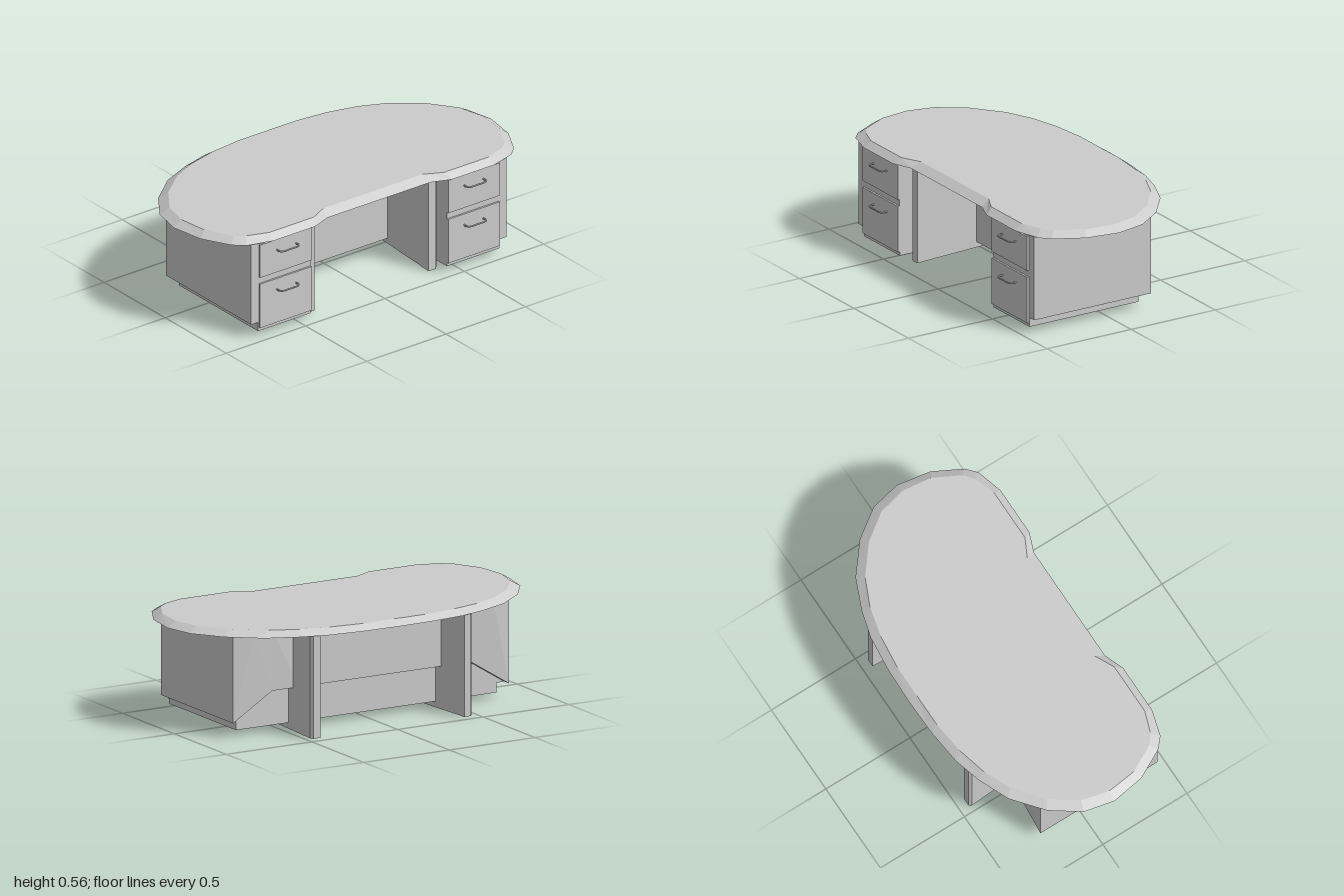
import * as THREE from 'three';
import { ConvexGeometry } from 'three/addons/geometries/ConvexGeometry.js';

const mat = new THREE.MeshStandardMaterial({ color: 0xcccccc, flatShading: true });

function add(parent, geometry, name) {
  const mesh = new THREE.Mesh(geometry, mat);
  mesh.name = name;
  parent.add(mesh);
  return mesh;
}

// Box given by its limits on each axis
function block(parent, name, [x0, x1], [y0, y1], [z0, z1]) {
  const mesh = add(parent, new THREE.BoxGeometry(x1 - x0, y1 - y0, z1 - z0), name);
  mesh.position.set((x0 + x1) / 2, (y0 + y1) / 2, (z0 + z1) / 2);
}

// Convex solid from corner points
function hull(parent, name, points) {
  add(parent, new ConvexGeometry(points.map((p) => new THREE.Vector3(...p))), name);
}

// Plan outline (x, z) raised from y0 to y1
function raise(outline, y0, y1) {
  const shape = new THREE.Shape(outline.map(([x, z]) => new THREE.Vector2(x, -z)));
  const g = new THREE.ExtrudeGeometry(shape, { depth: y1 - y0, bevelEnabled: false });
  return g.rotateX(-Math.PI / 2).translate(0, y0, 0);
}

// Kidney-shaped top: each half point holds the lower x, z and the inset upper x, z
function tableTop() {
  const half = [
    [0.2, -0.5, 0.18, -0.46], [0.39, -0.48, 0.36, -0.44], [0.535, -0.44, 0.52, -0.40],
    [0.7, -0.37, 0.665, -0.335], [0.86, -0.24, 0.815, -0.215], [0.965, -0.09, 0.915, -0.075],
    [1, 0.07, 0.95, 0.07], [0.97, 0.25, 0.93, 0.23], [0.89, 0.4, 0.855, 0.37],
    [0.835, 0.45, 0.805, 0.41], [0.695, 0.49, 0.69, 0.45], [0.43, 0.49, 0.41, 0.45],
    [0.325, 0.45, 0.31, 0.4],
  ];
  const loop = [[0, -0.505, 0, -0.46], ...half,
    ...half.slice().reverse().map(([a, b, c, d]) => [-a, b, -c, d])];
  const g = raise(loop, 0.53, 0.56);
  const p = g.attributes.position;
  for (let i = 0; i < p.count; i++) {
    if (p.getY(i) < 0.545) continue;
    const q = loop.find(([x, z]) => Math.hypot(x - p.getX(i), z - p.getZ(i)) < 1e-4);
    p.setXYZ(i, q[2], 0.56, q[3]);
  }
  g.computeVertexNormals();
  return g;
}

// Bow handle centred on x = 0, reaching out in z
function handleGeometry() {
  const path = new THREE.CatmullRomCurve3([
    [-0.06, 0, 0], [-0.06, 0, 0.022], [-0.05, 0, 0.034], [0, 0, 0.036],
    [0.05, 0, 0.034], [0.06, 0, 0.022], [0.06, 0, 0],
  ].map((p) => new THREE.Vector3(...p)));
  return new THREE.TubeGeometry(path, 24, 0.0045, 8);
}

export function createModel() {
  const desk = new THREE.Group();
  desk.name = 'desk';
  add(desk, tableTop(), 'tableTop');

  // Middle panel, stepped in at the back near the floor
  block(desk, 'modestyPanel', [-0.44, 0.44], [0.22, 0.53], [-0.25, 0.02]);
  block(desk, 'modestyPanelBase', [-0.44, 0.44], [0.03, 0.22], [-0.2, 0.02]);

  const handle = handleGeometry();
  for (const s of [1, -1]) {
    const side = new THREE.Group();
    side.name = s > 0 ? 'leftPedestal' : 'rightPedestal';
    desk.add(side);
    const span = (a, b) => (s > 0 ? [a, b] : [-b, -a]);

    // Cabinet and recessed base
    block(side, 'cabinet', span(0.43, 0.805), [0.08, 0.53], [-0.2, 0.45]);
    block(side, 'cabinetBase', span(0.43, 0.76), [0.03, 0.22], [-0.2, 0.449]);

    // Faceted back of the cabinet: lower edge rises towards the middle
    const f = -0.2;
    const outer = [
      [0.805, 0.53, f], [0.805, 0.08, f], [0.805, 0.53, -0.245], [0.805, 0.08, -0.245],
      [0.7, 0.53, -0.265], [0.58, 0.53, -0.262], [0.58, 0.22, -0.25],
      [0.58, 0.53, f], [0.58, 0.22, f],
    ];
    const inner = [
      [0.58, 0.53, f], [0.58, 0.22, f], [0.58, 0.53, -0.262], [0.58, 0.22, -0.25],
      [0.43, 0.53, f], [0.43, 0.22, f], [0.43, 0.53, -0.25], [0.43, 0.22, -0.25],
    ];
    hull(side, 'cabinetBackOuter', outer.map(([x, y, z]) => [s * x, y, z]));
    hull(side, 'cabinetBackInner', inner.map(([x, y, z]) => [s * x, y, z]));

    // Splayed upright panel standing on the floor
    const plan = [[0.36, 0.39], [0.405, 0.39], [0.42, 0.375], [0.47, -0.435], [0.46, -0.45], [0.42, -0.45]];
    add(side, raise(plan.map(([x, z]) => [s * x, z]), 0, 0.53), 'uprightPanel');

    // Drawer fronts with handles
    for (const [y0, y1, hy] of [[0.33, 0.512, 0.455], [0.05, 0.295, 0.235]]) {
      block(side, 'drawerFront', span(0.43, 0.755), [y0, y1], [0.44, 0.46]);
      add(side, handle, 'drawerHandle').position.set(s * 0.59, hy, 0.459);
    }
  }
  return desk;
}
